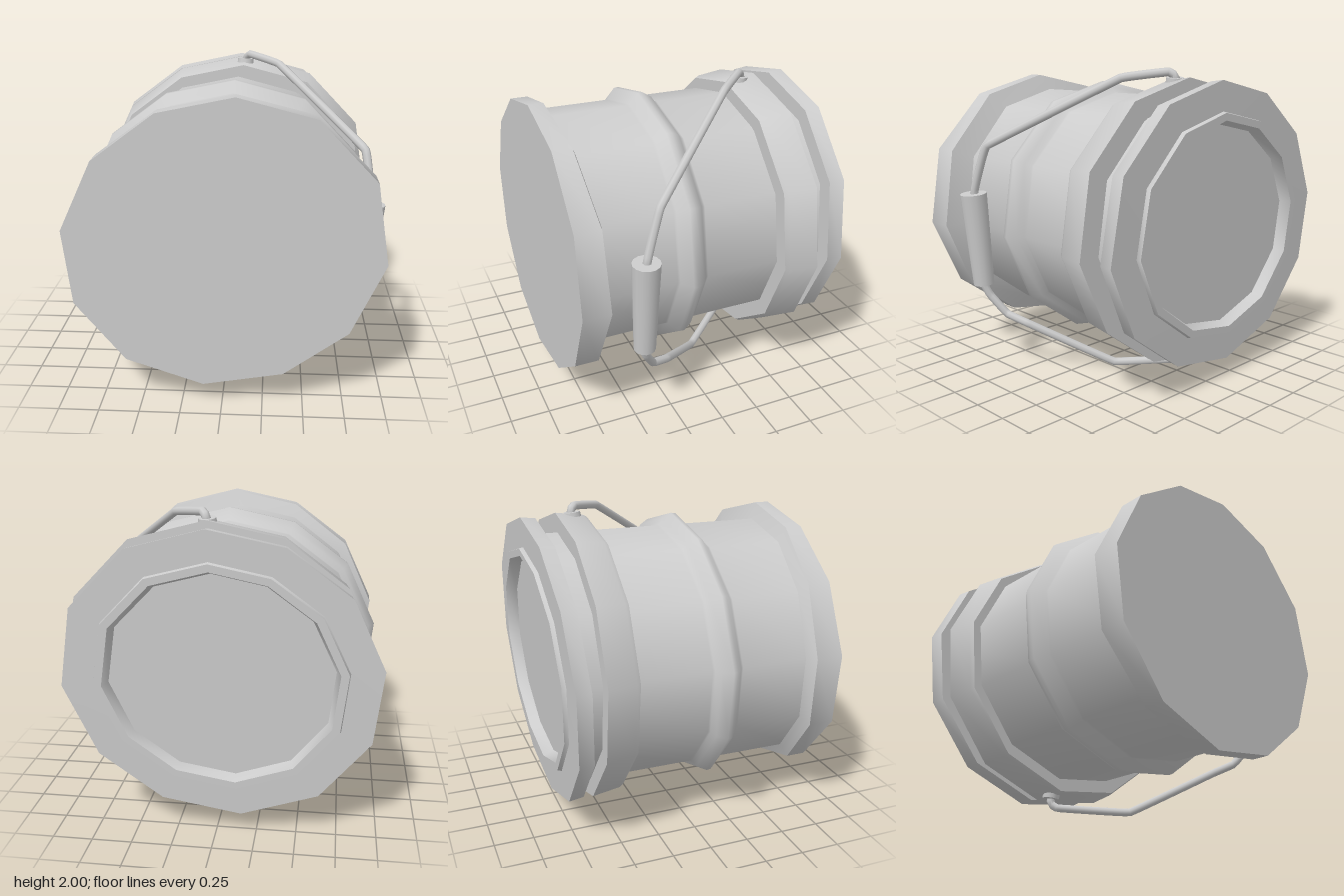
import * as THREE from 'three';
import { toCreasedNormals } from 'three/addons/utils/BufferGeometryUtils.js';

const SIDES = 12;
const material = new THREE.MeshStandardMaterial({ color: 0xcccccc, side: THREE.DoubleSide });
const rad = THREE.MathUtils.degToRad;

// Twelve-sided, slightly oval and uneven loft along z. Each profile entry is
// [radius, z, centreX, sideSweep]; profiles run from front to back.
function loft(name, profile, tilt = () => 0) {
  const positions = [], index = [];
  profile.forEach(([r, z, cx = -0.03, sweep = 0], i) => {
    for (let j = 0; j < SIDES; j++) {
      const even = 25.4 + j * 30;
      // the corners at the lower right sit a little further round
      const a = rad(even - 4.5 * Math.max(0, Math.cos(rad(even + 125))) ** 2);
      const f = r * (1 + 0.048 * Math.cos(2 * (a - 0.314)));
      const x = f * Math.cos(a), y = f * Math.sin(a);
      positions.push(cx + x, 1.03 + y, z - sweep * Math.cos(a) ** 2 + tilt(x, y));
      if (i < profile.length - 1) {
        const p = i * SIDES + j, q = i * SIDES + (j + 1) % SIDES;
        index.push(p, p + SIDES, q, q, p + SIDES, q + SIDES);
      }
    }
  });
  const geometry = new THREE.BufferGeometry();
  geometry.setAttribute('position', new THREE.Float32BufferAttribute(positions, 3));
  geometry.setIndex(index);
  return named(name, toCreasedNormals(geometry, 1));
}

function named(name, geometry) {
  const mesh = new THREE.Mesh(geometry, material);
  mesh.name = name;
  return mesh;
}

const v = (x, y, z) => new THREE.Vector3(x, y, z);

// Cylinder running between two points
function rod(name, from, to, rFrom, rTo, sides) {
  const mesh = named(name, new THREE.CylinderGeometry(rTo, rFrom, from.distanceTo(to), sides));
  mesh.position.copy(from).lerp(to, 0.5);
  mesh.quaternion.setFromUnitVectors(v(0, 1, 0), to.clone().sub(from).normalize());
  return mesh;
}

export function createModel() {
  const bucket = new THREE.Group();
  bucket.name = 'bucket';

  // Base with its flared foot
  bucket.add(loft('base', [
    [0, 0.885, 0.01], [0.93, 0.885, 0.01], [0.93, 0.79, 0.01, 0.08], [0.824, 0.74, -0.03, 0.07],
  ]));

  // Wall with the soft raised middle rib
  bucket.add(loft('wall', [
    [0.824, 0.78], [0.824, 0.24], [0.828, 0.225], [0.9, 0.17], [0.903, 0.14],
    [0.865, 0.08], [0.828, 0.055], [0.824, 0.04], [0.824, -0.78],
  ]));

  // Flared collar that carries the handle
  bucket.add(loft('collar', [
    [0.81, -0.43, 0], [0.908, -0.43, 0], [0.922, -0.455, 0], [0.947, -0.635, 0], [0.81, -0.635, 0],
  ]));

  // Slightly tilted lid with raised lip and recessed panel
  bucket.add(loft('lid', [
    [0.8, -0.735], [0.925, -0.735], [0.937, -0.83], [0.745, -0.832],
    [0.738, -0.858], [0.69, -0.858], [0.665, -0.785], [0, -0.785],
  ], (x, y) => -0.038 * y - 0.012 * x));

  // Wire handle, bent in nearly straight runs
  const path = new THREE.CatmullRomCurve3([
    v(0.08, 1.9, -0.53), v(0.085, 1.945, -0.535), v(0.115, 1.973, -0.5), v(0.32, 1.935, -0.29),
    v(0.86, 1.51, 0.37), v(0.9, 1.2, 0.47), v(0.85, 0.58, 0.47),
    v(0.82, 0.5, 0.45), v(0.74, 0.365, 0.37), v(0.665, 0.31, 0.24),
    v(0.235, 0.027, -0.14), v(-0.09, 0.06, -0.5), v(-0.12, 0.09, -0.535), v(-0.12, 0.14, -0.535),
  ], false, 'catmullrom', 0.06);
  bucket.add(named('handleWire', new THREE.TubeGeometry(path, 120, 0.027, 8)));

  // Tapered grip
  bucket.add(rod('grip', v(0.85, 0.58, 0.47), v(0.903, 1.195, 0.475), 0.068, 0.086, 14));

  // Handle pivots on the collar
  bucket.add(rod('topPivot', v(0.08, 1.89, -0.52), v(0.083, 1.939, -0.525), 0.06, 0.055, 12));
  bucket.add(rod('bottomPivot', v(-0.12, 0.17, -0.53), v(-0.123, 0.122, -0.535), 0.06, 0.055, 12));

  return bucket;
}
